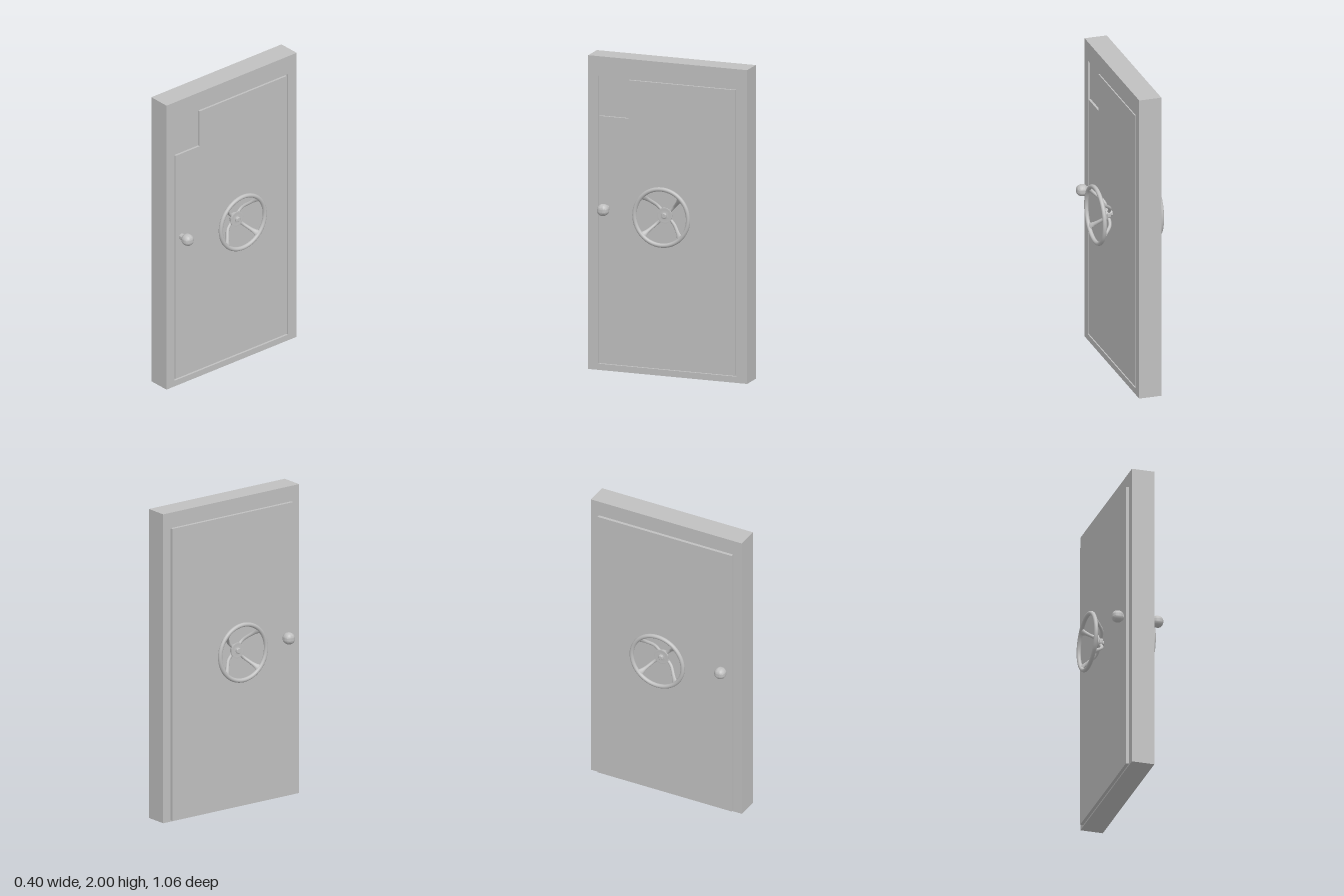
import * as THREE from 'three';
import { toCreasedNormals } from 'three/addons/utils/BufferGeometryUtils.js';

const grey = new THREE.MeshStandardMaterial({ color: 0xc0c0c0 });
grey.name = 'grey';

function part(name, geometry) {
  const m = new THREE.Mesh(geometry, grey);
  m.name = name;
  return m;
}

const outline = (pts) => pts.map(([u, v]) => new THREE.Vector2(u, v));
const rect = (u0, v0, u1, v1) => outline([[u0, v0], [u1, v0], [u1, v1], [u0, v1]]);

// Extrude an outline (u = -z, v = y) from x0 to x1
function slab(name, points, x0, x1, hole) {
  const shape = new THREE.Shape(points);
  if (hole) shape.holes.push(new THREE.Path(hole));
  const g = new THREE.ExtrudeGeometry(shape, { depth: x1 - x0, bevelEnabled: false });
  g.translate(0, 0, x0);
  g.rotateY(Math.PI / 2);
  return part(name, g);
}

// Turned part with its axis along local z; profile is [radius, z]
function turned(name, profile, crease = 0.6) {
  const g = new THREE.LatheGeometry(outline(profile), 32);
  g.rotateX(Math.PI / 2);
  return part(name, toCreasedNormals(g, crease));
}

// Curved spoke in the local xz plane, widening where it meets the rim
function spokeGeometry() {
  const path = new THREE.CatmullRomCurve3([
    [0.02, 0.11], [0.05, 0.107], [0.085, 0.114], [0.135, 0.152], [0.165, 0.178], [0.18, 0.187],
  ].map(([r, z]) => new THREE.Vector3(r, 0, z)));
  const g = new THREE.TubeGeometry(path, 28, 0.0105, 12);
  const p = g.attributes.position;
  for (let i = 0; i < p.count; i++) {
    const t = Math.floor(i / 13) / 28;
    p.setY(i, p.getY(i) * (1 + 1.8 * t ** 7));
  }
  g.computeVertexNormals();
  return g;
}

function makeWheel() {
  const wheel = new THREE.Group();
  const rim = part('wheelRim', new THREE.TorusGeometry(0.179, 0.0135, 16, 72));
  rim.position.z = 0.187;
  wheel.add(rim);
  const spoke = spokeGeometry();
  for (let i = 0; i < 4; i++) {
    const s = part('wheelSpoke', spoke);
    s.rotation.z = Math.PI / 4 + i * Math.PI / 2;
    wheel.add(s);
  }
  // Shaft, spool shaped hub and end nut
  wheel.add(turned('wheelHub', [
    [0.018, 0.07], [0.018, 0.096], [0.034, 0.097], [0.036, 0.104], [0.036, 0.118],
    [0.049, 0.124], [0.05, 0.133], [0.04, 0.134], [0.024, 0.131], [0.017, 0.133],
    [0.017, 0.143], [0.013, 0.147], [0, 0.147],
  ]));
  return wheel;
}

function makeKnob() {
  const knob = new THREE.Group();
  knob.add(turned('knobStem', [[0.02, 0.07], [0.02, 0.11]]));
  // Slightly squared ball
  const profile = [];
  for (let i = 0; i <= 20; i++) {
    const a = -Math.PI / 2 + (i / 20) * Math.PI;
    const c = Math.max(0, Math.cos(a)), s = Math.sin(a);
    profile.push([0.038 * c ** 0.85, 0.138 + 0.037 * Math.sign(s) * Math.abs(s) ** 0.9]);
  }
  knob.add(turned('knobBall', profile, 1));
  return knob;
}

export function createModel() {
  const model = new THREE.Group();
  model.name = 'vaultDoor';

  // Frame with opening, and the door filling it
  model.add(slab('doorFrame', rect(-0.53, 0, 0.53, 2), -0.065, 0.08, rect(-0.465, 0.04, 0.46, 1.875)));
  model.add(slab('doorCore', rect(-0.465, 0.04, 0.46, 1.875), -0.07, 0.065));

  // Flush face with a narrow gap around it and one corner cut out
  model.add(slab('doorFace', outline([
    [-0.455, 0.05], [0.45, 0.05], [0.45, 1.865], [-0.26, 1.865], [-0.26, 1.62], [-0.455, 1.62],
  ]), 0.06, 0.08));

  // Overlapping flange on the other side
  model.add(slab('doorFlange', rect(-0.47, 0.01, 0.473, 1.9), -0.085, -0.06));

  // Hand wheels and knobs on both sides
  for (const side of [1, -1]) {
    const wheel = makeWheel();
    wheel.name = side > 0 ? 'leftWheel' : 'rightWheel';
    wheel.position.y = 1.037;
    const knob = makeKnob();
    knob.name = side > 0 ? 'leftKnob' : 'rightKnob';
    knob.position.set(side > 0 ? 0 : 0.018, 1.037, 0.408);
    for (const g of [wheel, knob]) {
      g.rotation.y = side * Math.PI / 2;
      model.add(g);
    }
  }
  return model;
}
